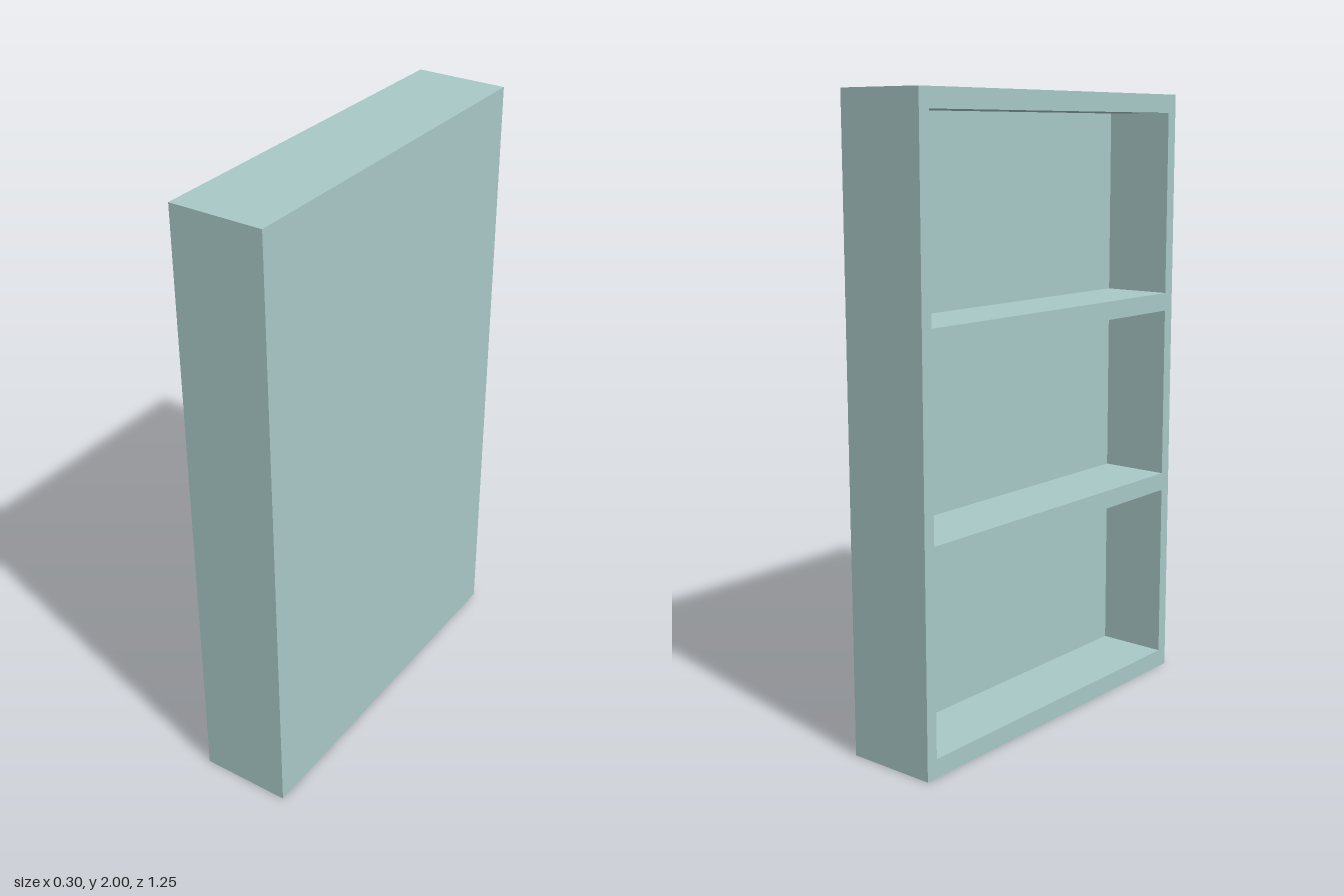
import * as THREE from 'three';

const WIDTH = 1.25, HEIGHT = 2, DEPTH = 0.3;
const SIDE = 0.04, BACK = 0.065;
// bottom and top of each compartment
const BAYS = [[0.06, 0.65], [0.71, 1.28], [1.34, 1.94]];

function rectangle(path, halfWidth, y0, y1) {
  path.moveTo(-halfWidth, y0);
  path.lineTo(halfWidth, y0);
  path.lineTo(halfWidth, y1);
  path.lineTo(-halfWidth, y1);
  path.closePath();
  return path;
}

export function createModel() {
  const group = new THREE.Group();
  group.name = 'bookcase';
  const paint = new THREE.MeshStandardMaterial({ color: 0xa8c9c6 });
  paint.name = 'pale teal paint';

  // Sides, top, bottom and shelves as one frame, open towards -x
  const outline = rectangle(new THREE.Shape(), WIDTH / 2, 0, HEIGHT);
  for (const [y0, y1] of BAYS) {
    outline.holes.push(rectangle(new THREE.Path(), WIDTH / 2 - SIDE, y0, y1));
  }
  const frameGeometry = new THREE.ExtrudeGeometry(outline, { depth: DEPTH - BACK, bevelEnabled: false });
  frameGeometry.rotateY(-Math.PI / 2);
  frameGeometry.translate(DEPTH / 2 - BACK, 0, 0);
  const frame = new THREE.Mesh(frameGeometry, paint);
  frame.name = 'shelfFrame';
  group.add(frame);

  // Solid panel closing the +x side
  const back = new THREE.Mesh(new THREE.BoxGeometry(BACK, HEIGHT, WIDTH), paint);
  back.position.set(DEPTH / 2 - BACK / 2, HEIGHT / 2, 0);
  back.name = 'backPanel';
  group.add(back);

  return group;
}
